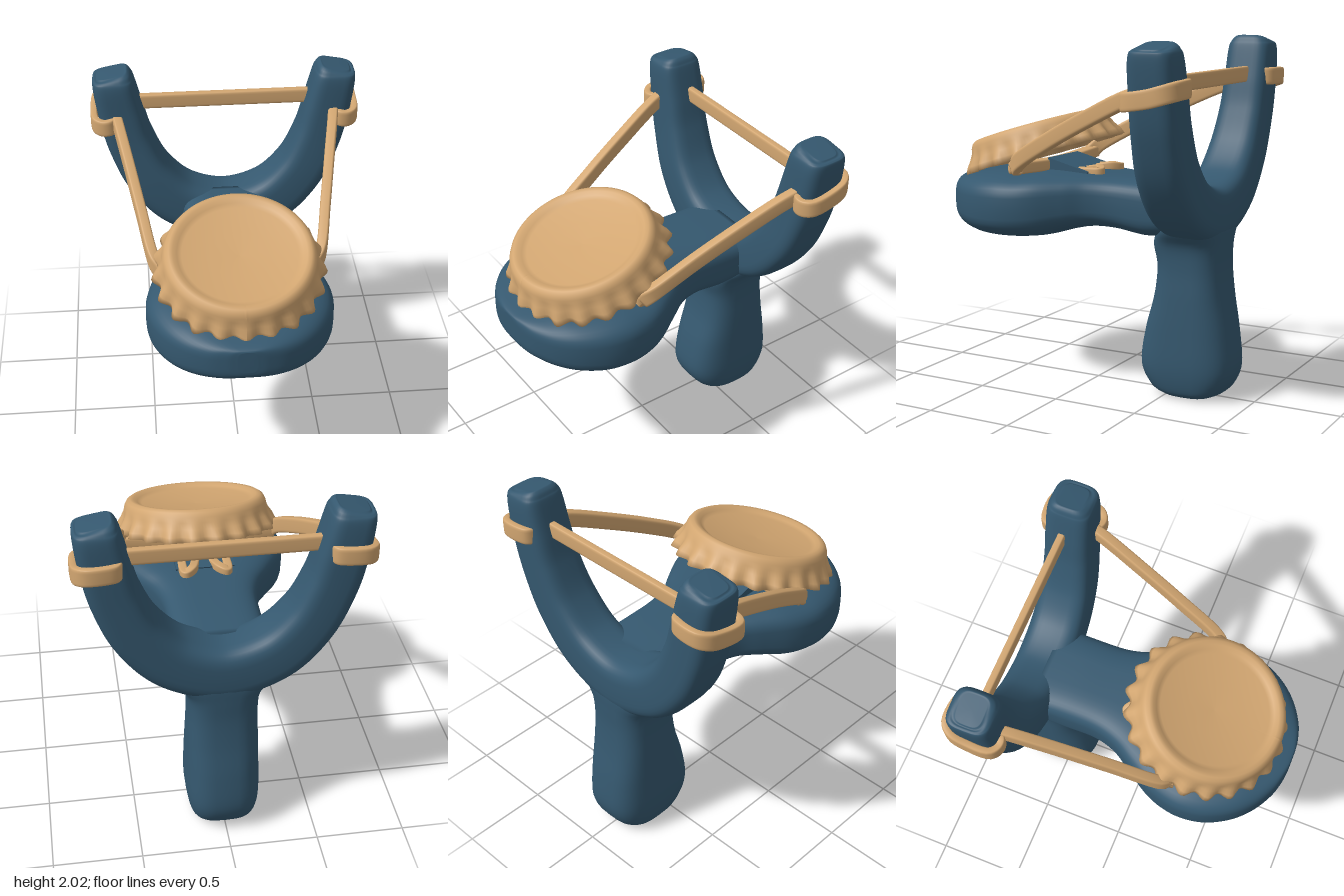
import * as THREE from 'three';

const blue = new THREE.MeshStandardMaterial({ color: 0x35586f });
blue.name = 'blue wood';
const tan = new THREE.MeshStandardMaterial({ color: 0xd2a671 });
tan.name = 'tan rubber';

const V = (x, y, z) => new THREE.Vector3(x, y, z);

// Smoothly interpolates rows of numbers, t from 0 to 1
function keyed(rows) {
  const size = rows[0].length;
  const spline = new THREE.CubicInterpolant(rows.map((_, i) => i), rows.flat(), size, new Float32Array(size));
  return t => Array.from(spline.evaluate(t * (rows.length - 1)));
}

// Skins superellipse sections { c, u, v } where u x v points along the sweep
function loft(steps, section, power, sides = 36) {
  const pos = [], idx = [];
  const bend = a => Math.sign(a) * Math.pow(Math.abs(a), 2 / power);
  for (let i = 0; i <= steps; i++) {
    const { c, u, v } = section(i / steps);
    for (let j = 0; j < sides; j++) {
      const a = (j / sides) * Math.PI * 2;
      const p = c.clone().addScaledVector(u, bend(Math.cos(a))).addScaledVector(v, bend(Math.sin(a)));
      pos.push(p.x, p.y, p.z);
      if (i < steps) {
        const k = (j + 1) % sides, r = i * sides, s = r + sides;
        idx.push(r + j, r + k, s + k, r + j, s + k, s + j);
      }
    }
  }
  const first = section(0).c, last = section(1).c, n = pos.length / 3, top = steps * sides;
  pos.push(first.x, first.y, first.z, last.x, last.y, last.z);
  for (let j = 0; j < sides; j++) {
    const k = (j + 1) % sides;
    idx.push(n, k, j, n + 1, top + j, top + k);
  }
  const g = new THREE.BufferGeometry();
  g.setAttribute('position', new THREE.Float32BufferAttribute(pos, 3));
  g.setIndex(idx);
  g.computeVertexNormals();
  return g;
}

// Flat rubber band following a path
function strap(points, halfThick, halfHeight) {
  const curve = new THREE.CatmullRomCurve3(points.map(p => V(...p)), false, 'centripetal');
  return loft(40, t => {
    const d = curve.getTangent(t);
    const u = d.clone().cross(V(0, 1, 0)).normalize();
    const v = d.clone().cross(u);
    return { c: curve.getPoint(t), u: u.multiplyScalar(halfThick), v: v.multiplyScalar(halfHeight) };
  }, 5, 24);
}

export function createModel() {
  const model = new THREE.Group();
  model.name = 'slingshot';
  const add = (name, geometry, material) => {
    const m = new THREE.Mesh(geometry, material);
    m.name = name;
    model.add(m);
    return m;
  };

  // Handle: y, centre z, half width, half depth
  const handle = keyed([
    [0.0, -0.62, 0.12, 0.1], [0.015, -0.62, 0.165, 0.16], [0.06, -0.615, 0.19, 0.23],
    [0.18, -0.61, 0.207, 0.28], [0.38, -0.615, 0.205, 0.258], [0.58, -0.625, 0.2, 0.213],
    [0.75, -0.625, 0.195, 0.195], [0.88, -0.615, 0.21, 0.205], [0.98, -0.64, 0.27, 0.18],
    [1.1, -0.66, 0.27, 0.15]]);
  add('handle', loft(48, t => {
    const [y, z, hx, hz] = handle(t);
    return { c: V(0, y, z), u: V(0, 0, hz), v: V(hx, 0, 0) };
  }, 3), blue);

  // Fork: centre x, y, half thickness, centre z, half depth; mirrored about the middle
  const arm = [
    [0.655, 2.0, 0.08, -0.685, 0.07], [0.652, 1.985, 0.108, -0.685, 0.11], [0.645, 1.93, 0.122, -0.685, 0.13],
    [0.61, 1.75, 0.133, -0.685, 0.137], [0.56, 1.55, 0.138, -0.68, 0.142], [0.455, 1.32, 0.145, -0.67, 0.152],
    [0.27, 1.13, 0.155, -0.665, 0.158]];
  const fork = keyed([...arm, [0, 1.05, 0.16, -0.665, 0.16],
    ...arm.slice().reverse().map(r => [-r[0], ...r.slice(1)])]);
  add('fork', loft(110, t => {
    const [x, y, h, z, hz] = fork(t);
    const a = fork(Math.max(0, t - 0.01)), b = fork(Math.min(1, t + 0.01));
    const d = V(b[0] - a[0], b[1] - a[1], 0).normalize();
    return { c: V(x, y, z), u: V(-d.y, d.x, 0).multiplyScalar(h), v: V(0, 0, hz) };
  }, 3.6), blue);

  // Paddle: z, top y, bottom y, half width
  const paddle = keyed([
    [-0.62, 1.22, 0.95, 0.27], [-0.42, 1.235, 0.915, 0.265], [-0.22, 1.24, 0.94, 0.27],
    [-0.08, 1.245, 0.945, 0.31], [0.04, 1.25, 0.925, 0.385], [0.18, 1.255, 0.885, 0.47],
    [0.3, 1.25, 0.87, 0.512], [0.42, 1.25, 0.865, 0.523], [0.55, 1.24, 0.87, 0.498],
    [0.68, 1.225, 0.892, 0.43], [0.78, 1.205, 0.925, 0.335], [0.85, 1.19, 0.965, 0.22],
    [0.88, 1.18, 1.0, 0.12], [0.888, 1.17, 1.03, 0.05]]);
  add('paddle', loft(90, t => {
    const [z, top, bottom, hx] = paddle(t);
    return { c: V(0, (top + bottom) / 2, z), u: V(hx, 0, 0), v: V(0, (top - bottom) / 2, 0) };
  }, 3.6, 48), blue);

  // Crimped bottle cap, hollow below and dished on top
  const profile = [
    [0, 0.09], [0.33, 0.09], [0.39, 0.07], [0.435, 0.0], [0.465, 0.0], [0.458, 0.035], [0.437, 0.075],
    [0.424, 0.11], [0.418, 0.14], [0.405, 0.165], [0.385, 0.178], [0.362, 0.176], [0.34, 0.162],
    [0.315, 0.15], [0.15, 0.135], [0, 0.13]];
  const capGeo = new THREE.LatheGeometry(profile.map(p => new THREE.Vector2(...p)), 168);
  const p = capGeo.attributes.position;
  for (let i = 0; i < p.count; i++) {
    const x = p.getX(i), y = p.getY(i), z = p.getZ(i), r = Math.hypot(x, z);
    if (r < 0.4 || y > 0.12) continue;
    const k = 1 + 0.045 * (1 - y / 0.12) * Math.cos(21 * Math.atan2(x, z));
    p.setXYZ(i, x * k, y, z * k);
  }
  capGeo.computeVertexNormals();
  const cap = add('bottleCap', capGeo, tan);
  cap.position.set(0, 1.316, 0.36);
  cap.rotation.x = 0.3;

  // Rubber bands from the cap to each arm, wrapping the arm tips
  for (const [s, side] of [[1, 'left'], [-1, 'right']]) {
    add(side + 'Band', strap([
      [s * 0.43, 1.285, 0.3], [s * 0.465, 1.335, 0.25], [s * 0.52, 1.48, 0.0], [s * 0.575, 1.615, -0.27],
      [s * 0.62, 1.715, -0.49], [s * 0.64, 1.75, -0.6]], 0.03, 0.046), tan);
    add(side + 'Wrap', strap([
      [s * 0.655, 1.725, -0.58], [s * 0.67, 1.72, -0.545], [s * 0.71, 1.715, -0.54], [s * 0.757, 1.72, -0.575],
      [s * 0.767, 1.74, -0.7], [s * 0.755, 1.765, -0.79], [s * 0.71, 1.78, -0.835], [s * 0.6, 1.785, -0.838],
      [s * 0.555, 1.785, -0.82], [s * 0.54, 1.785, -0.76]], 0.021, 0.05), tan);
    // Loose band ends behind the cap
    add(side + 'BandEnd', strap([
      [s * 0.05, 1.25, 0.04], [s * 0.08, 1.265, -0.05], [s * 0.12, 1.255, -0.075], [s * 0.13, 1.25, 0.08]],
      0.025, 0.025), tan);
  }
  add('crossBand', strap([[-0.6, 1.797, -0.7], [0, 1.797, -0.7], [0.6, 1.797, -0.7]], 0.022, 0.045), tan);
  add('underCapBand', strap([[-0.45, 1.29, 0.29], [0, 1.275, 0.27], [0.45, 1.29, 0.29]], 0.045, 0.035), tan);

  // Small wooden ramp under the cap
  const ramp = add('capRest', new THREE.BoxGeometry(0.34, 0.08, 0.27), blue);
  ramp.position.set(0, 1.25, 0.12);
  ramp.rotation.x = -0.25;

  return model;
}
